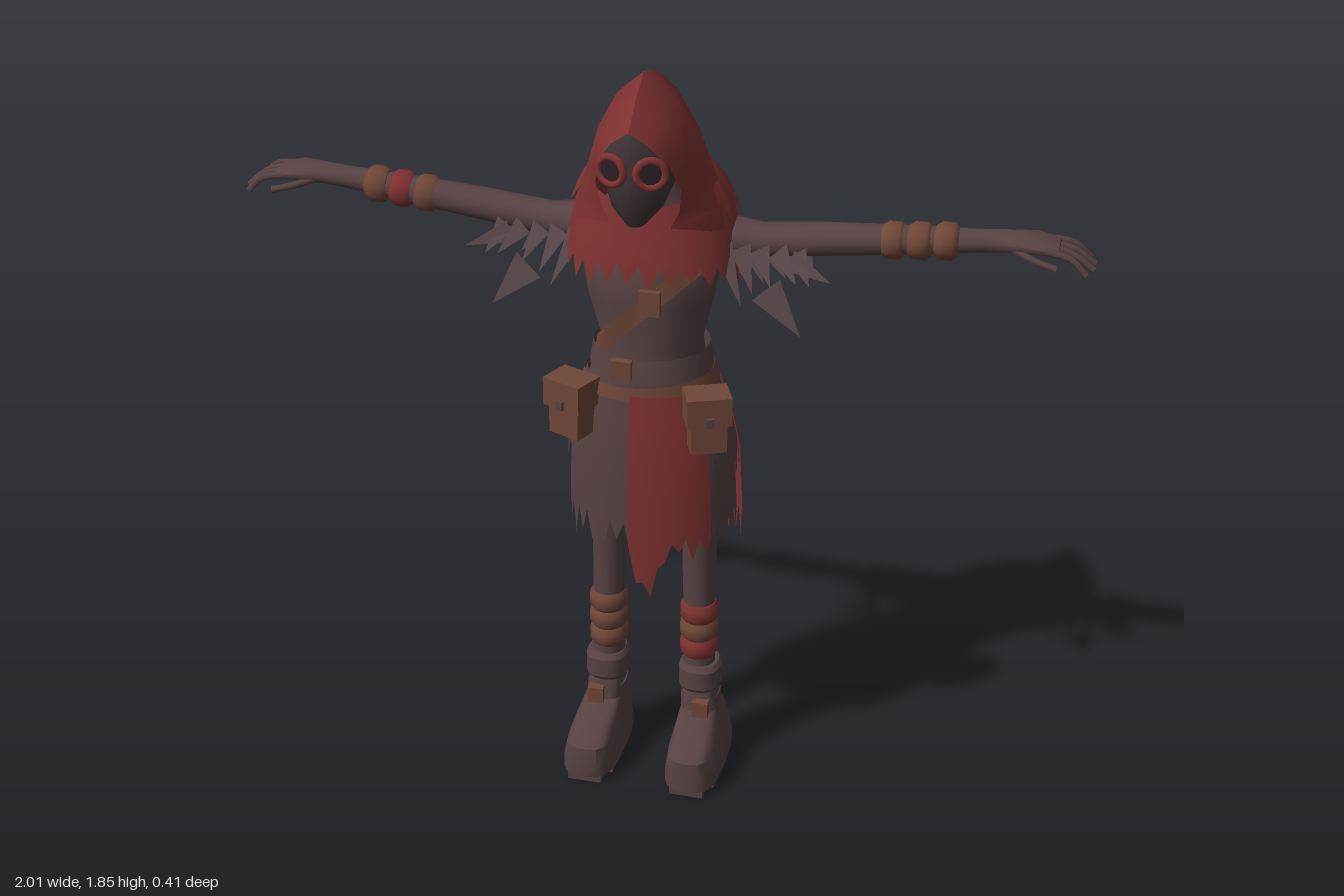
import * as THREE from 'three';
import { toCreasedNormals } from 'three/addons/utils/BufferGeometryUtils.js';

const mat = (name, color) => {
  const m = new THREE.MeshStandardMaterial({ color, side: THREE.DoubleSide });
  m.name = name;
  return m;
};

export function createModel() {
  const root = new THREE.Group();
  root.name = 'hoodedScout';
  const dark = mat('darkCloth', 0x574242), red = mat('redCloth', 0x7f3131), leather = mat('leather', 0x6f4638);
  const maskMat = mat('mask', 0x3d3335), lensMat = mat('lens', 0x2a2022), feather = mat('feather', 0x584648);
  const rad = Math.PI / 180;
  let seed = 7;
  const rnd = () => (seed = (seed * 16807) % 2147483647) / 2147483647;

  const build = (pos, idx, crease = 0.9) => {
    const g = new THREE.BufferGeometry();
    g.setAttribute('position', new THREE.Float32BufferAttribute(pos, 3));
    g.setIndex(idx);
    return toCreasedNormals(g, crease);
  };
  const add = (name, geo, m, parent = root) => {
    const mesh = new THREE.Mesh(geo, m);
    mesh.name = name;
    parent.add(mesh);
    return mesh;
  };
  // copy across x = 0 with the corner order put right
  const mirrored = (geo) => {
    const g = geo.index ? geo.toNonIndexed() : geo.clone();
    g.scale(-1, 1, 1);
    for (const a of Object.values(g.attributes)) {
      const n = a.itemSize, s = a.array;
      for (let i = 0; i < a.count; i += 3) for (let k = 0; k < n; k++) {
        const p = (i + 1) * n + k, q = (i + 2) * n + k, v = s[p];
        s[p] = s[q]; s[q] = v;
      }
    }
    return g;
  };
  const pair = (name, geo, mL, mR = mL) => {
    add(name + 'Left', geo, mL);
    add(name + 'Right', mirrored(geo), mR);
  };
  // closed elliptical sections [t, ra, rb, ca, cb] along y (a = x, b = z) or along x (a = y, b = z)
  const loft = (rings, axis = 'y', n = 18, power = 1, crease = 0.9) => {
    const pos = [], idx = [], sp = (v) => Math.sign(v) * Math.abs(v) ** power;
    const put = (t, a, b) => (axis === 'y' ? pos.push(a, t, b) : pos.push(t, a, b));
    for (const [t, ra, rb, ca = 0, cb = 0] of rings) for (let i = 0; i < n; i++) {
      const w = (i / n) * 2 * Math.PI, s = sp(Math.sin(w)), c = sp(Math.cos(w));
      axis === 'y' ? put(t, ca + ra * s, cb + rb * c) : put(t, ca + ra * c, cb + rb * s);
    }
    const L = rings.length, first = rings[0], last = rings[L - 1];
    put(first[0], first[3] || 0, first[4] || 0);
    put(last[0], last[3] || 0, last[4] || 0);
    for (let i = 0; i < n; i++) {
      const k = (i + 1) % n;
      for (let j = 0; j < L - 1; j++) {
        const a = j * n + i, b = j * n + k;
        idx.push(a, b, a + n, b, b + n, a + n);
      }
      idx.push(L * n, k, i, L * n + 1, (L - 1) * n + i, (L - 1) * n + k);
    }
    return build(pos, idx, crease);
  };
  // size of a body profile [y, rx, rz, cz] at height y
  const at = (prof, y) => {
    let i = 0;
    while (i < prof.length - 2 && y > prof[i + 1][0]) i++;
    const p = prof[i], q = prof[i + 1], f = THREE.MathUtils.clamp((y - p[0]) / (q[0] - p[0]), 0, 1);
    return [1, 2, 3].map((k) => p[k] + (q[k] - p[k]) * f);
  };
  // sheet wrapped on a profile from angle a0 to a1 (0 front, 90 left), with a ragged lower edge
  const cloth = (prof, a0, a1, top, bottom, out, teeth, depth, rows = 6) => {
    const pos = [], idx = [], cols = teeth * 2;
    for (let i = 0; i <= cols; i++) {
      const a = a0 + ((a1 - a0) * i) / cols, w = a * rad;
      const low = bottom(a) - (i % 2 ? depth * (0.55 + 0.6 * rnd()) : -depth * 0.2 * rnd());
      for (let j = 0; j <= rows; j++) {
        const y = top(a) + ((low - top(a)) * j) / rows, [rx, rz, cz] = at(prof, y);
        pos.push((rx + out) * Math.sin(w), y, cz + (rz + out) * Math.cos(w));
        if (i < cols && j < rows) {
          const v = i * (rows + 1) + j, u = v + rows + 1;
          idx.push(v, v + 1, u, v + 1, u + 1, u);
        }
      }
    }
    return build(pos, idx);
  };
  const bump = (a, c, w) => Math.exp(-(((a - c) / w) ** 2));
  const flat = (v) => () => v;

  // torso and neck
  const body = [[1.06, .14, .12, 0], [1.18, .12, .11, -.008], [1.3, .15, .125, .002], [1.4, .168, .125, -.008],
    [1.48, .15, .1, -.03], [1.54, .08, .075, -.01], [1.62, .05, .05, .02]];
  add('torso', loft(body.map(([y, rx, rz, cz]) => [y, rx, rz, 0, cz]), 'y', 24), dark);

  // belts and shoulder strap
  const slant = (y, k) => (a) => y + k * Math.sin(a * rad);
  const skirt = [[.45, .205, .155, -.042], [.7, .205, .145, -.02], [.9, .198, .142, -.01], [1.0, .178, .135, -.005], [1.12, .135, .122, 0]];
  add('upperBelt', cloth(body, 0, 360, flat(1.17), flat(1.115), .016, 16, 0, 1), dark);
  add('lowerBelt', cloth(skirt, 0, 360, slant(1.105, .012), slant(1.072, .012), .014, 16, 0, 1), leather);
  add('shoulderStrap', cloth(body, 0, 360, slant(1.325, .15), slant(1.265, .15), .008, 16, 0, 1), leather);
  add('beltBuckle', new THREE.BoxGeometry(.05, .05, .02), leather).position.set(-.04, 1.143, .125);
  add('strapBuckle', new THREE.BoxGeometry(.05, .06, .015), leather).position.set(.03, 1.325, .136);

  // ragged skirt layers
  add('underSkirt', cloth(skirt, 0, 360, flat(1.12), flat(.73), 0, 34, .07), dark);
  add('overSkirtRight', cloth(skirt, 186, 356, flat(1.1), flat(.905), .009, 14, .06), dark);
  add('overSkirtLeft', cloth(skirt, 46, 104, flat(1.1), flat(.905), .009, 5, .06), dark);
  add('frontPanel', cloth(skirt, -6, 50, flat(1.085), (a) => .7 - .13 * bump(a, 6, 9), .015, 6, .05), red);
  add('backPanel', cloth(skirt, 96, 190, (a) => 1.08 - .09 * bump(a, 96, 15),
    (a) => .7 - .17 * bump(a, 173, 7) - .04 * bump(a, 135, 12), .014, 9, .07), red);
  add('backStrip', cloth(skirt, 206, 222, flat(1.0), flat(.72), .006, 2, .06), red);

  // mantle and collar
  const mantle = [[1.3, .218, .155, -.022], [1.4, .205, .152, -.024], [1.5, .188, .142, -.034], [1.58, .15, .12, -.025], [1.66, .08, .09, .01]];
  add('mantle', cloth(mantle, 0, 360, (a) => 1.575 - .035 * bump(a > 180 ? a - 360 : a, 0, 45),
    (a) => 1.405 - .025 * (1 - Math.cos(a * rad)), 0, 26, .05), red);
  add('collar', cloth(mantle, 65, 295, flat(1.64), flat(1.54), .012, 13, .055, 4), red);

  // hood: half arches from the face rim back to the drooping peak
  const arches = [
    [[0, 1.755, .2], [.042, 1.725, .192], [.08, 1.67, .16], [.098, 1.6, .12], [.09, 1.54, .1], [.07, 1.5, .105]],
    [[0, 1.81, .14], [.058, 1.765, .13], [.105, 1.69, .1], [.135, 1.61, .06], [.16, 1.53, .05], [.17, 1.48, .05]],
    [[0, 1.85, .065], [.065, 1.79, .05], [.115, 1.7, .03], [.145, 1.61, 0], [.172, 1.53, -.01], [.182, 1.48, -.01]],
    [[0, 1.82, -.03], [.055, 1.77, -.03], [.1, 1.69, -.04], [.122, 1.61, -.05], [.15, 1.54, -.07], [.16, 1.48, -.08]],
    [[0, 1.785, -.1], [.035, 1.755, -.095], [.062, 1.69, -.08], [.08, 1.63, -.07], [.1, 1.57, -.1], [.11, 1.49, -.13]],
    [[0, 1.74, -.168], [0, 1.725, -.15], [0, 1.685, -.105], [0, 1.65, -.075], [0, 1.58, -.12], [0, 1.5, -.16]]];
  const hoodPos = arches.flat(2), hoodIdx = [];
  for (let s = 0; s < 5; s++) for (let j = 0; j < 5; j++) {
    const a = s * 6 + j, b = a + 6;
    hoodIdx.push(a, a + 1, b, a + 1, b + 1, b);
  }
  pair('hood', build(hoodPos, hoodIdx), red);

  // mask and goggles
  add('mask', loft([[1.52, .022, .03, 0, .135], [1.56, .058, .065, 0, .122], [1.62, .082, .095, 0, .095],
    [1.68, .09, .105, 0, .085], [1.74, .07, .09, 0, .09], [1.77, .02, .03, 0, .1]], 'y', 16), maskMat);
  for (const s of [1, -1]) {
    const g = new THREE.Group();
    g.name = s > 0 ? 'goggleLeft' : 'goggleRight';
    g.position.set(s * .045, 1.658, .182);
    g.rotation.y = s * .3;
    add('goggleRim', new THREE.TorusGeometry(.032, .009, 8, 20), red, g);
    const lens = add('lens', new THREE.CylinderGeometry(.031, .031, .03, 20), lensMat, g);
    lens.rotation.x = Math.PI / 2;
    lens.position.z = -.012;
    root.add(g);
  }

  // arms and hands
  pair('arm', loft([[.1, .055, .06, 1.44, -.035], [.25, .04, .045, 1.432, -.04], [.4, .038, .042, 1.45, -.04],
    [.6, .033, .036, 1.47, -.04], [.75, .026, .028, 1.484, -.04], [.8, .024, .036, 1.488, -.042],
    [.87, .021, .052, 1.49, -.045], [.92, .012, .046, 1.484, -.045]], 'x', 14), dark);
  const finger = (pts, r) => {
    const curve = new THREE.CatmullRomCurve3(pts.map((p) => new THREE.Vector3(...p)));
    return new THREE.TubeGeometry(curve, 6, r, 6);
  };
  for (let i = 0; i < 4; i++) {
    const z = -.086 + i * .027, tz = -.108 + i * .036, end = i === 0 || i === 3 ? .985 : .998;
    pair('finger' + (i + 1), finger([[.89, 1.488, z], [.95, 1.476, (z + tz) / 2], [end, 1.442, tz]], .0085), dark);
  }
  pair('thumb', finger([[.82, 1.482, -.015], [.87, 1.468, .008], [.92, 1.455, .014]], .009), dark);
  [.552, .612, .672].forEach((x, i) => {
    const cy = 1.468 + (x - .6) * .09;
    const g = loft([[x - .027, .034, .036, cy, -.04], [x - .014, .043, .045, cy, -.04],
      [x + .014, .043, .045, cy, -.04], [x + .027, .032, .034, cy, -.04]], 'x', 14);
    pair('armBand' + (i + 1), g, leather, i === 1 ? red : leather);
  });

  // feathery shards hanging below the shoulders
  const shardPos = [], shard = (bx, by, bz, tx, ty, tz, w) => {
    const dx = tx - bx, dy = ty - by, l = Math.hypot(dx, dy), nx = (-dy / l) * w, ny = (dx / l) * w;
    shardPos.push(bx - nx, by - ny, bz, bx + nx, by + ny, bz - .015, tx, ty, tz);
  };
  for (const [z, tz] of [[.03, .065], [-.02, 0], [-.1, -.12]]) for (let i = 0; i < 5; i++) {
    const x = .17 + i * .043;
    shard(x, 1.435, z, x + .035 + .03 * rnd(), 1.3 + i * .015 + .04 * rnd(), tz, .024);
  }
  shard(.28, 1.35, .06, .365, 1.25, .07, .04);
  shard(.33, 1.42, .04, .43, 1.385, .06, .025);
  shard(.3, 1.42, -.1, .4, 1.4, -.09, .03);
  pair('shoulderFeathers', build(shardPos, shardPos.filter((_, i) => i % 3 === 0).map((_, i) => i)), feather);

  // belt pouches
  for (const s of [1, -1]) {
    const g = new THREE.Group();
    g.name = s > 0 ? 'pouchLeft' : 'pouchRight';
    g.position.set(s * .162, 1.035, .118);
    g.rotation.y = s * .4;
    add('pouchBody', new THREE.BoxGeometry(.085, .12, .065), leather, g).position.y = -.01;
    add('pouchFlap', new THREE.BoxGeometry(.105, .07, .082), leather, g).position.y = .037;
    add('pouchStud', new THREE.BoxGeometry(.018, .022, .01), dark, g).position.set(0, .015, .044);
    root.add(g);
  }

  // legs and wrappings
  pair('leg', loft([[.2, .04, .042, .117, -.028], [.45, .04, .042, .115, -.028], [.62, .043, .042, .113, -.03],
    [.8, .06, .062, .105, -.02], [1.05, .075, .085, .085, -.005]], 'y', 16), dark);
  [.33, .38, .43].forEach((y, i) => {
    const g = loft([[y - .025, .041, .044, .116, -.026], [y - .013, .048, .053, .116, -.026],
      [y + .013, .048, .053, .116, -.026], [y + .025, .041, .044, .116, -.026]], 'y', 16);
    pair('legBand' + (i + 1), g, i === 1 ? leather : red, leather);
  });

  // boots with cuffs, buckles and treads
  pair('bootCuff', loft([[.21, .047, .053, .12, -.03], [.22, .053, .06, .12, -.03], [.27, .053, .06, .12, -.03],
    [.282, .045, .05, .12, -.03]], 'y', 16, .8, .5), dark);
  pair('boot', loft([[.018, .069, .152, .131, .028], [.05, .069, .152, .131, .028], [.098, .06, .148, .129, .027],
    [.13, .053, .11, .127, .002], [.158, .046, .058, .123, -.025], [.22, .043, .05, .12, -.03]], 'y', 20, .6, .6), dark);
  pair('bootBuckle', new THREE.BoxGeometry(.04, .045, .03).translate(.135, .172, .032), leather);
  pair('bootStrap', loft([[.155, .049, .06, .122, -.027], [.188, .048, .057, .121, -.028]], 'y', 16, .8, .5), dark);
  for (let i = 0; i < 6; i++)
    pair('tread' + (i + 1), new THREE.BoxGeometry(i === 0 || i === 5 ? .085 : .12, .022, .032).translate(.131, .011, -.1 + i * .051), dark);

  return root;
}
